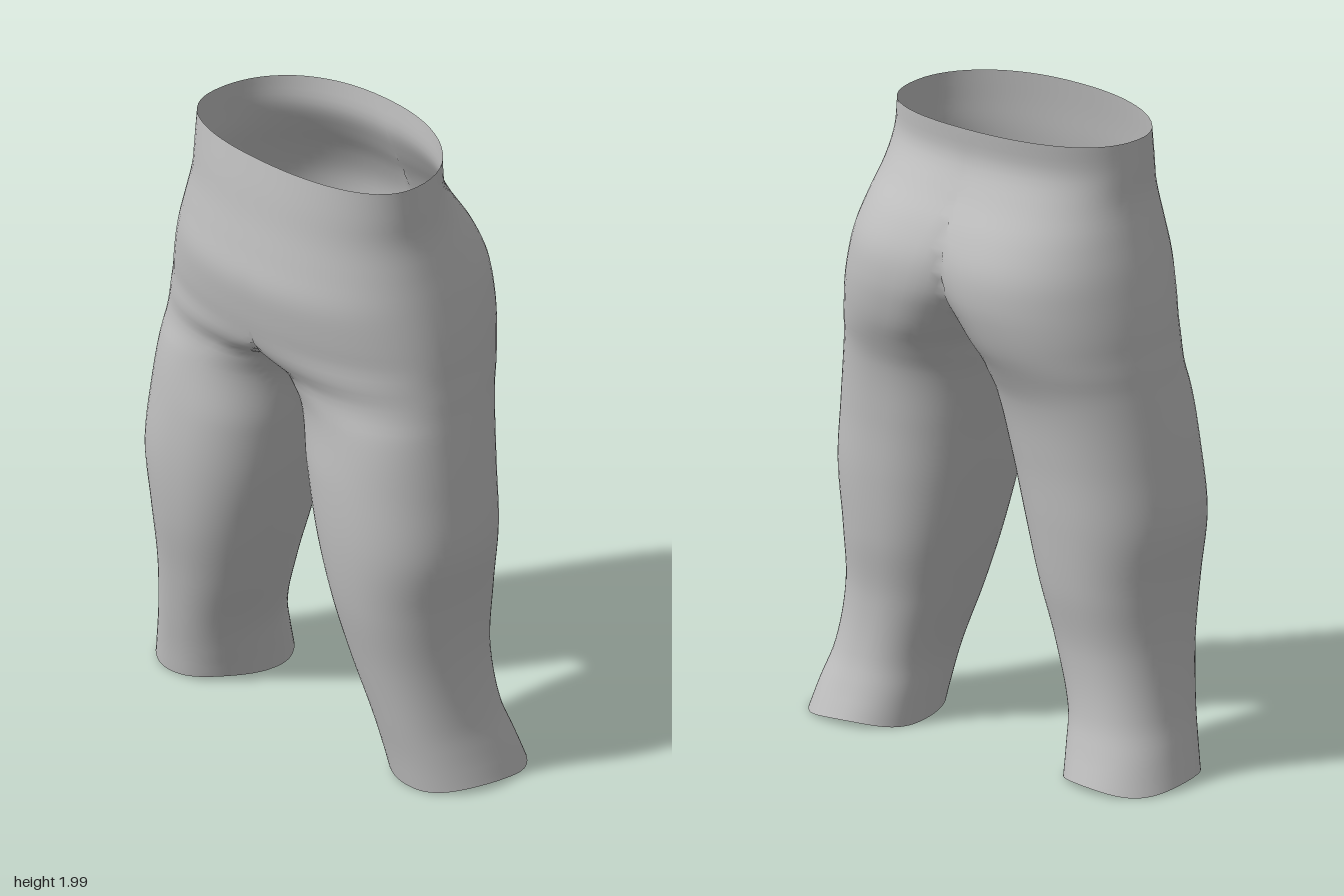
import * as THREE from 'three';
import { mergeVertices } from 'three/addons/utils/BufferGeometryUtils.js';

// Leg sections: y, outer x, inner x, front z, back z, middle z
const LEG = [
  [0, 0.69, 0.305, 0.175, -0.245, -0.05],
  [0.1, 0.665, 0.295, 0.19, -0.215, -0.03],
  [0.2, 0.635, 0.28, 0.21, -0.185, 0],
  [0.4, 0.607, 0.215, 0.25, -0.175, 0.03],
  [0.6, 0.61, 0.155, 0.29, -0.205, 0.04],
  [0.8, 0.63, 0.1, 0.31, -0.225, 0.05],
  [1.0, 0.61, 0.055, 0.31, -0.24, 0.04],
  [1.2, 0.58, 0.008, 0.295, -0.27, 0.03],
];
// Hip sections: y, outer x, front z, back z, middle z,
// then centre x and inner radius of the front lobe and of the back lobe
const HIP = [
  [1.25, 0.572, 0.293, -0.288, 0.03, 0.24, 0.26, 0.27, 0.277],
  [1.3, 0.565, 0.298, -0.31, 0.03, 0.19, 0.25, 0.25, 0.268],
  [1.35, 0.556, 0.325, -0.332, 0.03, 0.1, 0.3, 0.22, 0.265],
  [1.42, 0.546, 0.345, -0.353, 0.03, 0, 0.4, 0.19, 0.28],
  [1.5, 0.53, 0.36, -0.367, 0.03, 0, 0.4, 0.16, 0.32],
  [1.6, 0.505, 0.37, -0.362, 0.03, 0, 0.4, 0.14, 0.37],
  [1.7, 0.475, 0.355, -0.325, 0.04, 0, 0.4, 0.11, 0.42],
  [1.8, 0.447, 0.338, -0.268, 0.05, 0, 0.4, 0.06, 0.45],
  [1.9, 0.438, 0.325, -0.227, 0.06, 0, 0.4, 0, 0.45],
  [2, 0.43, 0.31, -0.232, 0.07, 0, 0.4, 0, 0.45],
];

function sectionCurve() {
  const legs = LEG.map(([y, o, i, f, b, m]) => {
    const c = (o + i) / 2, r = (o - i) / 2;
    return [y, o, f, b, m, c, r, c, r];
  });
  const rows = [...legs, ...HIP];
  return new THREE.CubicInterpolant(rows.map(r => r[0]), rows.flatMap(r => r.slice(1)), 8);
}

// Rounded, slightly square cross-section
const soft = v => Math.sign(v) * Math.pow(Math.abs(v), 2 / 2.2);

// One smooth shell: two mirrored halves that meet on the plane x = 0
function trouserGeometry(rows = 84, around = 64) {
  const curve = sectionCurve();
  const grid = [];
  for (let j = 0; j <= rows; j++) {
    const y = 2 * j / rows;
    const [outer, front, back, mid, cF, rF, cB, rB] = curve.evaluate(y);
    const ring = [];
    for (let i = 0; i < around; i++) {
      const a = i / around * Math.PI * 2;
      const co = Math.abs(Math.cos(a)) < 1e-9 ? 0 : soft(Math.cos(a));
      const si = soft(Math.sin(a));
      const isFront = i <= around / 2;
      const c = Math.max(0, isFront ? cF : cB);
      const x = Math.max(0, c + co * (co > 0 ? outer - c : isFront ? rF : rB));
      const z = mid + si * (si > 0 ? front - mid : mid - back);
      // Wavy hems and a waist that dips at the sides
      const hem = Math.max(0, 1 - y / 0.1) * (0.014 + 0.009 * Math.sin(3 * a + 0.6));
      const waist = Math.max(0, (y - 1.8) / 0.2) * 0.02 * Math.cos(a) ** 2;
      ring.push([x < 0.002 ? 0 : x, y + hem - waist, z]);
    }
    grid.push(ring);
  }

  const positions = [];
  const triangle = (a, b, c) => {
    if (a[0] + b[0] + c[0] === 0) return; // open inside, above the crotch
    positions.push(...a, ...b, ...c);
    for (const p of [a, c, b]) positions.push(p[0] === 0 ? 0 : -p[0], p[1], p[2]);
  };
  for (let j = 0; j < rows; j++) {
    for (let i = 0; i < around; i++) {
      const k = (i + 1) % around;
      const a = grid[j][i], b = grid[j][k], c = grid[j + 1][k], d = grid[j + 1][i];
      triangle(a, d, c);
      triangle(a, c, b);
    }
  }
  const geometry = new THREE.BufferGeometry();
  geometry.setAttribute('position', new THREE.Float32BufferAttribute(positions, 3));
  const smooth = mergeVertices(geometry, 1e-4);
  smooth.computeVertexNormals();
  return smooth;
}

export function createModel() {
  const group = new THREE.Group();
  group.name = 'trousers';
  const cloth = new THREE.MeshStandardMaterial({ color: 0xbfbfbf, side: THREE.DoubleSide });
  cloth.name = 'grey cloth';
  const shell = new THREE.Mesh(trouserGeometry(), cloth);
  shell.name = 'trouserShell';
  group.add(shell);
  return group;
}
